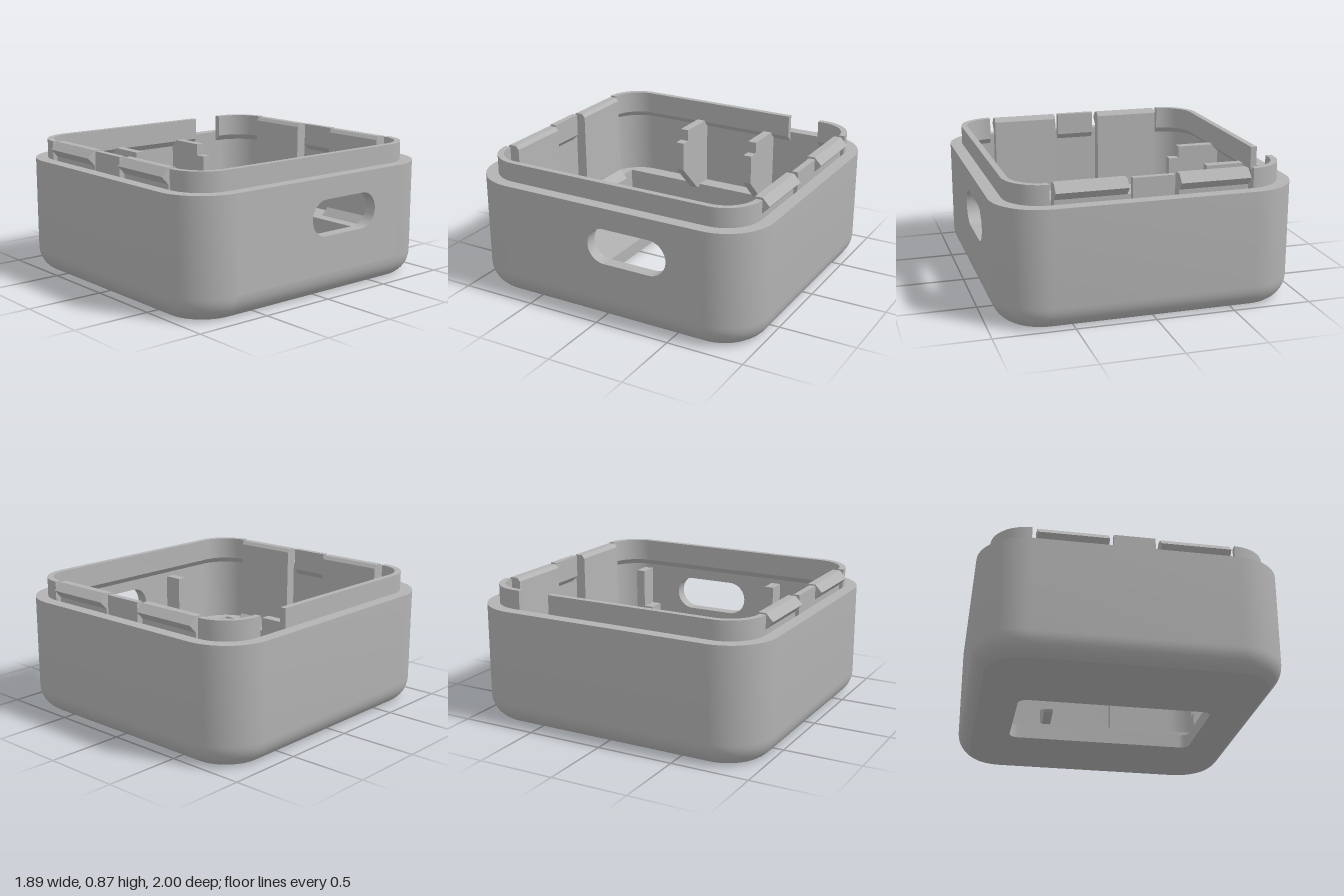
import * as THREE from 'three';
import { toCreasedNormals } from 'three/addons/utils/BufferGeometryUtils.js';

const HX = 0.945, HZ = 1, R = 0.315;      // outer footprint and corner radius
const CX = HX - R, CZ = HZ - R;           // corner centres
const LEDGE = 0.257, RIM = 0.745;

// Path point: position on the outer footprint plus its outward normal
const pt = (x, z, nx, nz) => ({ x, z, nx, nz });

// Quarter-circle corner of the footprint; quadrant 0 is +x +z, then onwards towards -x
function corner(q) {
  const sx = q === 0 || q === 3 ? 1 : -1, sz = q < 2 ? 1 : -1, pts = [];
  for (let i = 0; i <= 14; i++) {
    const t = (q + i / 14) * Math.PI / 2, c = Math.cos(t), s = Math.sin(t);
    pts.push(pt(sx * CX + R * c, sz * CZ + R * s, c, s));
  }
  return pts;
}

// Sweep a section of [inset, y] points along a path
function sweep(path, section, { closed = false, caps = false } = {}) {
  const pos = [];
  const at = (p, [inset, y]) => [p.x - p.nx * inset, y, p.z - p.nz * inset];
  const tri = (a, b, c) => pos.push(...a, ...b, ...c);
  const n = section.length;
  for (let i = 0; i < path.length - 1; i++) {
    for (let j = 0; j < (closed ? n : n - 1); j++) {
      const s0 = section[j], s1 = section[(j + 1) % n];
      const a = at(path[i], s0), b = at(path[i], s1);
      const c = at(path[i + 1], s1), d = at(path[i + 1], s0);
      tri(a, b, c);
      tri(a, c, d);
    }
  }
  if (caps) {
    const first = section.map(s => at(path[0], s));
    const last = section.map(s => at(path[path.length - 1], s));
    for (let j = 1; j < n - 1; j++) {
      tri(first[0], first[j + 1], first[j]);
      tri(last[0], last[j], last[j + 1]);
    }
  }
  const g = new THREE.BufferGeometry();
  g.setAttribute('position', new THREE.Float32BufferAttribute(pos, 3));
  return toCreasedNormals(g, 0.5);
}

const poly = points => new THREE.Shape(points.map(p => new THREE.Vector2(...p)));

function extrude(shape, depth) {
  const g = new THREE.ExtrudeGeometry(shape, { depth, bevelEnabled: false, curveSegments: 14 });
  return toCreasedNormals(g, 0.5);
}

// Profile of [z, y] points extruded along x
function prismX(points, x0, x1) {
  return extrude(poly(points.map(([z, y]) => [-z, y])), x1 - x0).rotateY(Math.PI / 2).translate(x0, 0, 0);
}

// Rounded rectangle from edges in plan
function roundRect(target, x0, x1, y0, y1, r) {
  const arcs = [[x1 - r, y1 - r], [x0 + r, y1 - r], [x0 + r, y0 + r], [x1 - r, y0 + r]];
  arcs.forEach(([x, y], i) => target.absarc(x, y, r, i * Math.PI / 2, (i + 1) * Math.PI / 2, false));
  target.closePath();
  return target;
}

// Horizontal slab following the footprint inside the wall, with one opening
function slab(hole, y0, y1) {
  const s = roundRect(new THREE.Shape(), -HX + 0.08, HX - 0.08, -HZ + 0.08, HZ - 0.08, R - 0.08);
  s.holes.push(hole);
  return extrude(s, y1 - y0).rotateX(Math.PI / 2).translate(0, y1, 0);
}

export function createModel() {
  const group = new THREE.Group();
  const grey = new THREE.MeshStandardMaterial({ color: 0xb3b3b3 });
  grey.name = 'casing grey';
  const add = (name, geometry) => {
    const m = new THREE.Mesh(geometry, grey);
    m.name = name;
    group.add(m);
  };

  // Rounded lower edge, then the wall with its flat rim and inner face
  const edge = [];
  for (let i = 0; i <= 6; i++) {
    const t = (1 - i / 6) * Math.PI / 3;
    edge.push([0.16 * (1 - Math.cos(t)), 0.1386 - 0.16 * Math.sin(t)]);
  }
  edge[0][1] = 0;
  const around = [0, 1, 2, 3].flatMap(corner);
  add('outerWall', sweep(around, [...edge, [0, RIM], [0.08, RIM], [0.08, 0.05]]));

  // Side wall panel with the long port opening
  add('portWallEdge', sweep([pt(HX, -CZ, 1, 0), pt(HX, CZ, 1, 0)], edge));
  const panel = poly([[-CZ, 0.1386], [CZ, 0.1386], [CZ, RIM], [-CZ, RIM]]);
  panel.holes.push(roundRect(new THREE.Path(), -0.085, 0.46, 0.38, 0.61, 0.1149));
  add('portWall', extrude(panel, 0.08).rotateY(Math.PI / 2).translate(HX - 0.08, 0, 0));

  // Floor with window, and the raised ledge around the recess
  add('floor', slab(roundRect(new THREE.Path(), -0.62, 0.615, -0.35, 0.3, 0.06), 0, 0.09));
  const recess = new THREE.Path([[-0.755, -0.7], [0.75, -0.7], [0.75, 0.825], [-0.755, 0.825]]
    .map(p => new THREE.Vector2(...p)));
  add('innerLedge', slab(recess, 0.09, LEDGE));

  // Raised lip in sections, chamfered underneath
  const lip = [[0.08, 0.68], [0.08, 0.868], [0.12, 0.868], [0.12, 0.72]];
  const lipPaths = {
    lipPortSide: [...corner(3), ...corner(0)],
    lipBracketSide: [...corner(1), pt(-HX, -0.43, -1, 0)],
    lipBackCorner: [pt(-HX, -0.65, -1, 0), ...corner(2)],
    lipFrontTab: [pt(0.13, HZ, 0, 1), pt(-0.13, HZ, 0, 1)],
    lipBackTab: [pt(-0.13, -HZ, 0, -1), pt(0.13, -HZ, 0, -1)],
  };
  for (const [name, path] of Object.entries(lipPaths)) {
    add(name, sweep(path, lip, { closed: true, caps: true }));
  }

  // Snap clips: tall tongues with a foot wedge and an outward catch
  const clip = [[0.775, 0.25], [0.832, 0.31], [0.838, 0.845], [0.858, 0.868],
    [0.907, 0.868], [0.953, 0.82], [0.907, 0.77], [0.907, 0.25]];
  for (const side of [1, -1]) {
    for (const x of [-0.6, 0.16]) {
      add(side > 0 ? 'frontClip' : 'backClip',
        prismX(clip.map(([z, y]) => [z * side, y]), x, x + 0.44));
    }
  }

  // Stepped brackets with a sloping underside
  const bracket = [[-0.87, 0.73], [-0.575, 0.73], [-0.575, 0.65], [-0.505, 0.65],
    [-0.505, 0.45], [-0.72, 0.24], [-0.87, 0.24]];
  for (const z of [-0.3, 0.235]) {
    add('bracket', extrude(poly(bracket), 0.06).translate(0, 0, z));
  }

  // Board posts on the port side: low seat inside, tall stop outside
  const post = [[0.235, 0.25], [0.235, 0.38], [0.3, 0.38], [0.3, 0.65], [0.365, 0.65], [0.365, 0.25]];
  add('frontPost', prismX(post, 0.74, 0.87));
  add('backPost', prismX(post.map(([z, y]) => [-0.385 - z, y]), 0.74, 0.87));

  // Small sloping finger on the back ledge
  add('ledgeFinger', prismX([[-0.84, 0.25], [-0.84, 0.415], [-0.55, 0.305], [-0.56, 0.29], [-0.7, 0.25]], -0.36, -0.3));

  return group;
}
